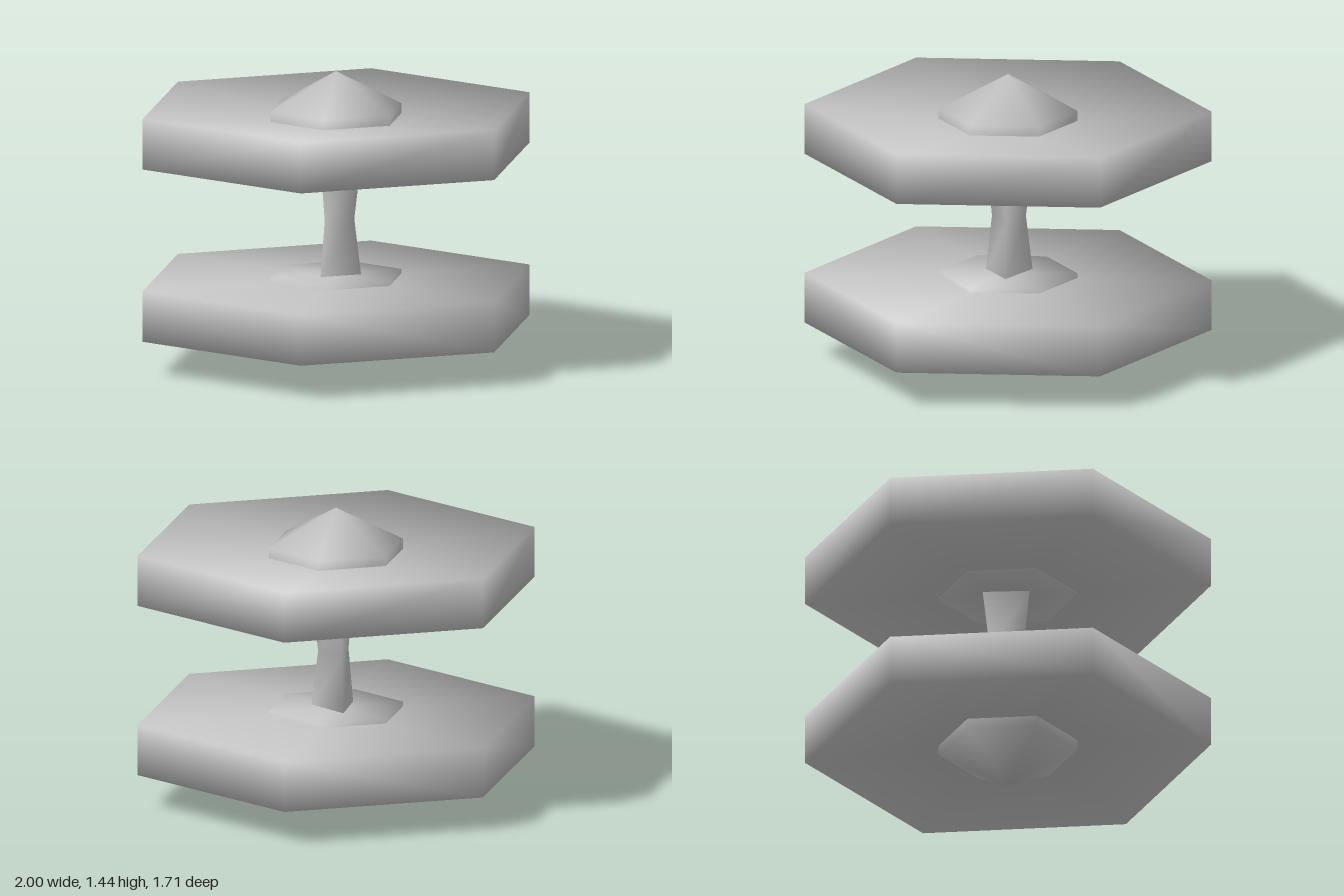
import * as THREE from 'three';

// Faceted solid of revolution with smooth shared normals.
// profile: [y, radius] from top to bottom; radius 0 makes a single pole vertex.
function facetedLathe(profile, sides, { start = 0, scaleX = 1, scaleZ = 1, mirrorY = null } = {}) {
  const positions = [], faces = [], rings = [];
  for (const [y, r] of profile) {
    const count = r === 0 ? 1 : sides;
    const first = positions.length / 3;
    const height = mirrorY === null ? y : mirrorY - y;
    for (let i = 0; i < count; i++) {
      const a = start + (i / sides) * Math.PI * 2;
      positions.push(r * Math.cos(a) * scaleX, height, r * Math.sin(a) * scaleZ);
    }
    rings.push((i) => first + (i % count));
  }
  const addFace = (a, b, c) => faces.push(mirrorY === null ? [a, b, c] : [a, c, b]);
  for (let k = 0; k < rings.length - 1; k++) {
    const top = rings[k], bottom = rings[k + 1];
    for (let i = 0; i < sides; i++) {
      if (profile[k][1] > 0) addFace(top(i), top(i + 1), bottom(i + 1));
      if (profile[k + 1][1] > 0) addFace(top(i), bottom(i + 1), bottom(i));
    }
  }

  // Vertex normals: every touching triangle counts equally
  const point = (i) => new THREE.Vector3().fromArray(positions, i * 3);
  const sums = Array.from({ length: positions.length / 3 }, () => new THREE.Vector3());
  for (const face of faces) {
    const n = new THREE.Triangle(...face.map(point)).getNormal(new THREE.Vector3());
    face.forEach((v) => sums[v].add(n));
  }
  const geometry = new THREE.BufferGeometry();
  geometry.setAttribute('position', new THREE.Float32BufferAttribute(positions, 3));
  geometry.setAttribute('normal', new THREE.Float32BufferAttribute(
    sums.flatMap((n) => n.normalize().toArray()), 3));
  geometry.setIndex(faces.flat());
  return geometry;
}

export function createModel() {
  const model = new THREE.Group();
  model.name = 'twinPlateSpindle';
  const grey = new THREE.MeshStandardMaterial({ color: 0xc4c4c4 });
  grey.name = 'light grey';

  const add = (name, geometry) => {
    const mesh = new THREE.Mesh(geometry, grey);
    mesh.name = name;
    model.add(mesh);
  };

  // Upper and lower halves mirror each other; the lower hub stands a little prouder inside
  for (const [prefix, mirrorY, hubEnd] of [['upper', null, 1.01], ['lower', 1.44, 0.998]]) {
    // Wide hexagonal plate, its outer face dished towards the hub
    add(prefix + 'Plate', facetedLathe(
      [[1.18, 0], [1.27, 1], [1.02, 1], [1.02, 0]], 6, { scaleZ: 0.985, mirrorY }));
    // Pointed hexagonal hub that runs through the plate
    add(prefix + 'Hub', facetedLathe(
      [[1.44, 0], [1.26, 0.338], [hubEnd, 0.338], [hubEnd, 0]], 6, { mirrorY }));
  }

  // Three-sided waisted shaft, flat side to the front
  add('shaft', facetedLathe(
    [[1.02, 0.136], [0.715, 0.097], [0.42, 0.136]], 3, { start: -Math.PI / 2, scaleX: 0.91 }));

  return model;
}
